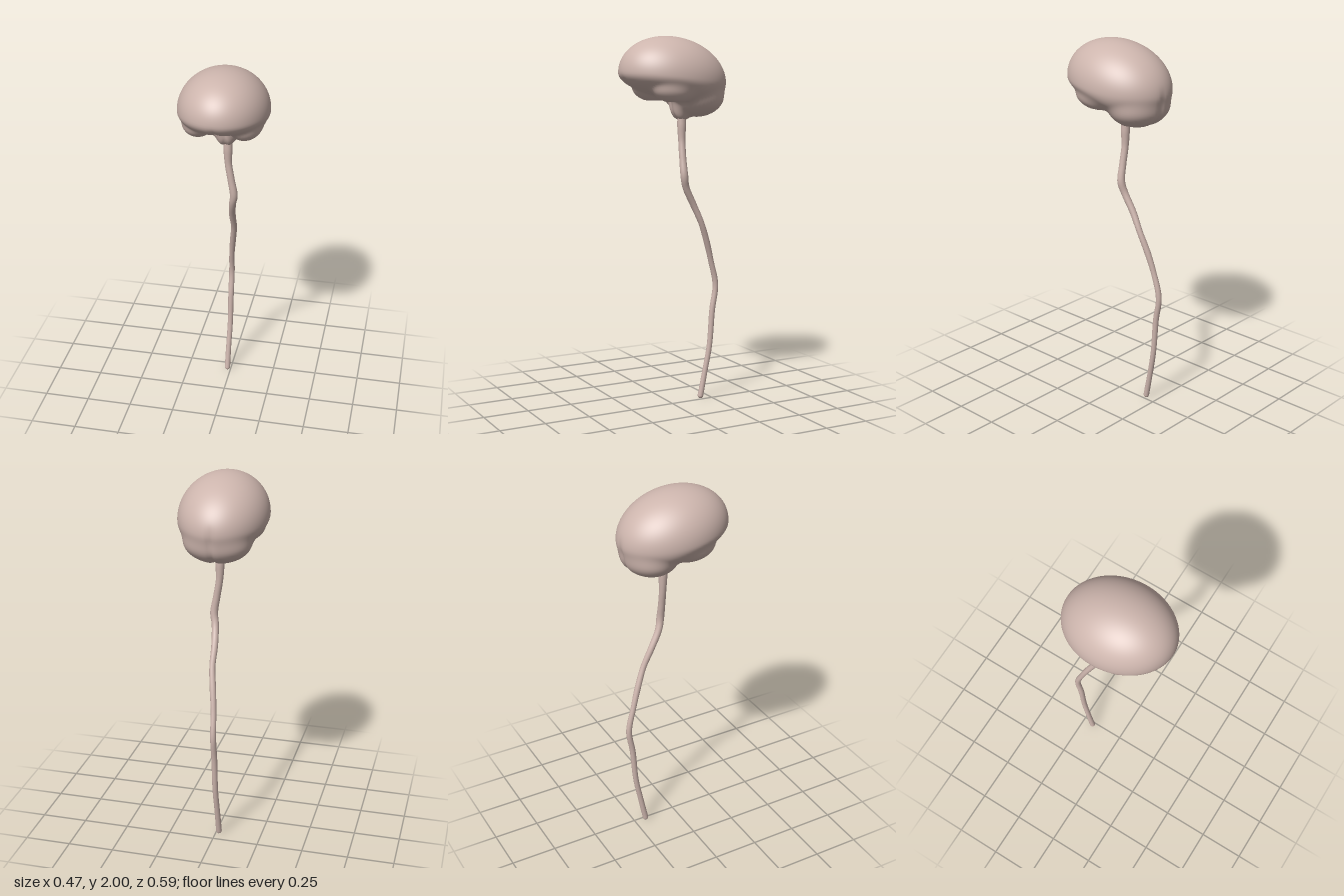
import * as THREE from 'three';
import { mergeVertices } from 'three/addons/utils/BufferGeometryUtils.js';

const material = new THREE.MeshStandardMaterial({ color: 0xcdb5ad });

// Approximate signed distance to an ellipsoid
function ellipsoid(x, y, z, rx, ry, rz) {
  const k = Math.hypot(x / rx, y / ry, z / rz);
  const g = Math.hypot(x / (rx * rx), y / (ry * ry), z / (rz * rz));
  return g < 1e-6 ? -Math.min(rx, ry, rz) : k * (k - 1) / g;
}

// Smooth union of two distances with blend width k
function blend(a, b, k) {
  const h = Math.max(k - Math.abs(a - b), 0) / k;
  return Math.min(a, b) - h * h * k * 0.25;
}

// Soft lobes that together shape the brain
function brainField(x, y, z) {
  // cerebrum: tilted dome with a flatter underside
  const cy = y - 1.782 - 0.1 * z;
  const under = 0.105 + 0.05 * THREE.MathUtils.smoothstep(-z, -0.1, 0.15);
  let d = ellipsoid(x, cy, z, 0.235, cy > 0 ? 0.217 : under, 0.298);
  // temporal lobes, flattened below
  const lobe = ellipsoid(Math.abs(x) - 0.118, y - 1.735, z - 0.035, 0.092, 0.083, 0.14);
  d = blend(d, Math.max(lobe, 1.662 - y), 0.02);
  // cerebellum
  d = blend(d, ellipsoid(x, y - 1.685, z + 0.135, 0.178, 0.112, 0.148), 0.025);
  // brain stem
  d = blend(d, ellipsoid(x, y - 1.645, z + 0.055, 0.062, 0.094, 0.066), 0.02);
  // shallow midline furrow at the back and underneath
  const low = THREE.MathUtils.smoothstep(-y, -1.82, -1.72);
  return d + 0.008 * low * Math.exp(-((x / 0.015) ** 2));
}

function createBrain() {
  const geo = new THREE.SphereGeometry(1, 112, 80);
  const center = new THREE.Vector3(0, 1.82, 0);
  const pos = geo.attributes.position;
  const dir = new THREE.Vector3();
  const p = new THREE.Vector3();
  const at = (t) => {
    p.copy(center).addScaledVector(dir, t);
    return brainField(p.x, p.y, p.z);
  };
  // push each vertex out along its ray to the outermost surface
  for (let i = 0; i < pos.count; i++) {
    dir.fromBufferAttribute(pos, i).normalize();
    let outer = 0.45;
    while (outer > 0.02 && at(outer) > 0) outer -= 0.005;
    let inner = outer;
    outer += 0.005;
    for (let j = 0; j < 14; j++) {
      const mid = (inner + outer) / 2;
      if (at(mid) > 0) outer = mid;
      else inner = mid;
    }
    at(inner);
    pos.setXYZ(i, p.x, p.y, p.z);
  }
  geo.deleteAttribute('uv');
  geo.deleteAttribute('normal');
  const smooth = mergeVertices(geo, 1e-5);
  smooth.computeVertexNormals();
  const mesh = new THREE.Mesh(smooth, material);
  mesh.name = 'brain';
  return mesh;
}

function createCord() {
  // x, y, z, radius from the brain stem down
  const stations = [
    [0.01, 1.6, -0.05, 0.022], [0.01, 1.53, -0.05, 0.024], [0.012, 1.45, -0.05, 0.019],
    [0.028, 1.35, -0.048, 0.019], [0.042, 1.26, -0.05, 0.021], [0.032, 1.2, -0.065, 0.019],
    [0.022, 1.1, -0.117, 0.018], [0.022, 1.0, -0.165, 0.016], [0.008, 0.89, -0.208, 0.017],
    [-0.004, 0.78, -0.242, 0.015], [-0.01, 0.64, -0.275, 0.016], [-0.011, 0.5, -0.256, 0.016],
    [-0.012, 0.3, -0.24, 0.015], [-0.016, 0.15, -0.213, 0.015], [-0.018, 0.016, -0.187, 0.016],
  ];
  const points = stations.map(([x, y, z]) => new THREE.Vector3(x, y, z));
  const curve = new THREE.CatmullRomCurve3(points, false, 'centripetal');
  const rings = 112;
  const sides = 14;
  const geo = new THREE.TubeGeometry(curve, rings, 1, sides);
  const pos = geo.attributes.position;
  const v = new THREE.Vector3();
  for (let i = 0; i <= rings; i++) {
    const c = curve.getPointAt(i / rings);
    // radius interpolated by height
    let s = 0;
    while (s < stations.length - 2 && stations[s + 1][1] > c.y) s++;
    const [a, b] = [stations[s], stations[s + 1]];
    const t = THREE.MathUtils.clamp((a[1] - c.y) / (a[1] - b[1]), 0, 1);
    const r = THREE.MathUtils.lerp(a[3], b[3], t);
    for (let j = 0; j <= sides; j++) {
      const k = i * (sides + 1) + j;
      v.fromBufferAttribute(pos, k).sub(c).multiplyScalar(r).add(c);
      pos.setXYZ(k, v.x, v.y, v.z);
    }
  }
  geo.deleteAttribute('uv');
  geo.deleteAttribute('normal');
  const smooth = mergeVertices(geo, 1e-5);
  smooth.computeVertexNormals();
  const cord = new THREE.Mesh(smooth, material);
  cord.name = 'spinalCord';

  // rounded lower end
  const tip = new THREE.Mesh(new THREE.SphereGeometry(0.016, 14, 10), material);
  tip.position.copy(points[points.length - 1]);
  tip.name = 'cordTip';

  const group = new THREE.Group();
  group.name = 'cord';
  group.add(cord, tip);
  return group;
}

export function createModel() {
  const model = new THREE.Group();
  model.name = 'brainAndSpinalCord';
  model.add(createBrain(), createCord());
  return model;
}
